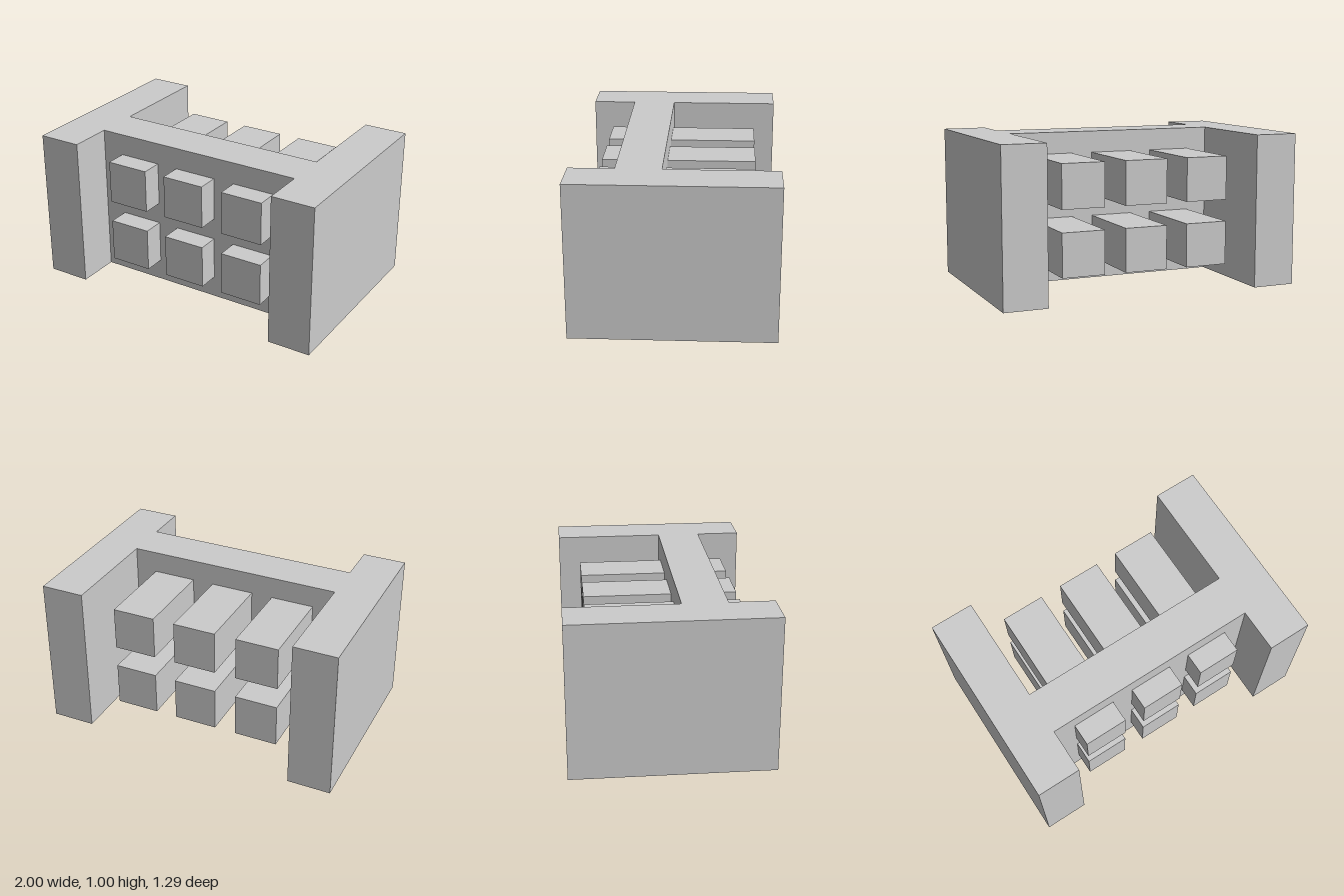
import * as THREE from 'three';

// All sizes are multiples of one seventh
const U = 1 / 7;

export function createModel() {
  const group = new THREE.Group();
  const material = new THREE.MeshStandardMaterial({ color: 0xcccccc, flatShading: true });

  // H-shaped frame: two side walls joined by a panel set forward of the middle.
  // Right half of the plan as [x, z], mirrored for the other half.
  const half = [[5, 0.5], [5, -4.5], [7, -4.5], [7, 4.5], [5, 4.5], [5, 2.5]];
  const outline = [...half, ...half.map(([x, z]) => [-x, z]).reverse()];
  const plan = new THREE.Shape(outline.map(([x, z]) => new THREE.Vector2(x * U, -z * U)));
  const frameGeometry = new THREE.ExtrudeGeometry(plan, { depth: 7 * U, bevelEnabled: false });
  frameGeometry.rotateX(-Math.PI / 2);
  const frame = new THREE.Mesh(frameGeometry, material);
  frame.name = 'frame';
  group.add(frame);

  // Two rows of three square pegs running through the panel
  const pegs = new THREE.Group();
  pegs.name = 'pegs';
  const pegGeometry = new THREE.BoxGeometry(2 * U, 2 * U, 7 * U);
  for (const y of [2, 5]) {
    for (const x of [-3, 0, 3]) {
      const peg = new THREE.Mesh(pegGeometry, material);
      peg.name = 'peg';
      peg.position.set(x * U, y * U, 0);
      pegs.add(peg);
    }
  }
  group.add(pegs);

  return group;
}
